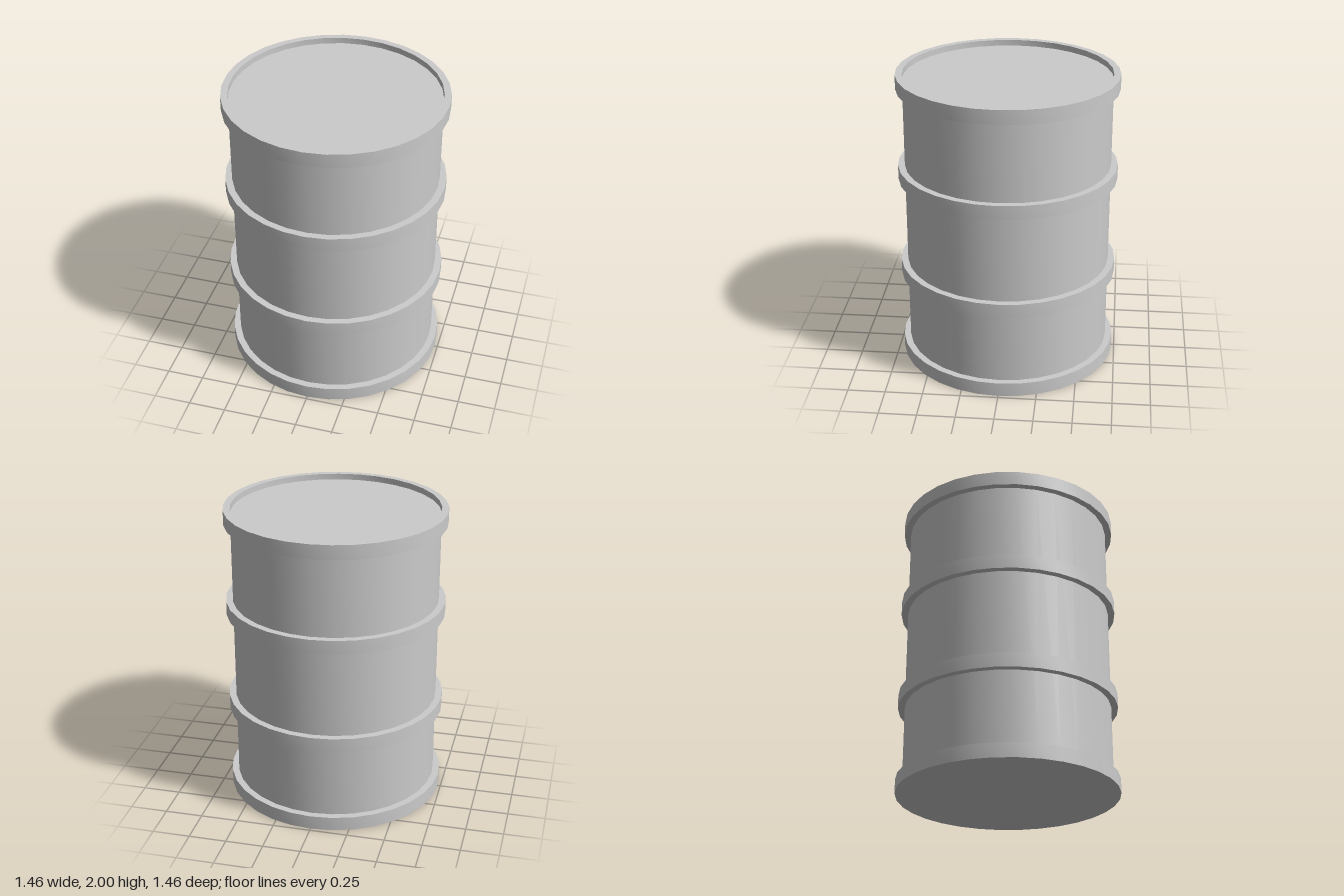
import * as THREE from 'three';
import { toCreasedNormals } from 'three/addons/utils/BufferGeometryUtils.js';

const SIDES = 32;
const BODY_R = 0.685;
const HOOP_R = 0.73;
const HOOP_H = 0.095;
const LID_Y = 1.96;

export function createModel() {
  const group = new THREE.Group();
  const material = new THREE.MeshStandardMaterial({ color: 0xcccccc });

  // Revolve a [radius, height] profile, keeping its corners sharp
  const turn = (name, profile) => {
    const points = profile.map(([r, y]) => new THREE.Vector2(r, y));
    const geometry = toCreasedNormals(new THREE.LatheGeometry(points, SIDES), Math.PI / 6);
    const mesh = new THREE.Mesh(geometry, material);
    mesh.name = name;
    group.add(mesh);
  };

  // Outward-facing band around the body, starting at height y
  const band = (y) => [
    [BODY_R, y], [HOOP_R, y], [HOOP_R, y + HOOP_H], [BODY_R, y + HOOP_H],
  ];

  // Flat base disc with its bottom rim
  turn('base', [[0, 0], ...band(0).slice(1)]);

  // Straight drum wall
  turn('body', [[BODY_R, HOOP_H], [BODY_R, 2 - HOOP_H]]);

  // Two stiffening hoops
  turn('lowerHoop', band(0.59));
  turn('upperHoop', band(1.28));

  // Top rim, with an inner wall down to the sunken lid
  turn('topRim', [...band(2 - HOOP_H), [BODY_R, LID_Y]]);

  // Sunken lid
  const lid = new THREE.Mesh(new THREE.CircleGeometry(BODY_R, SIDES), material);
  lid.rotation.x = -Math.PI / 2;
  lid.position.y = LID_Y;
  lid.name = 'lid';
  group.add(lid);

  return group;
}
